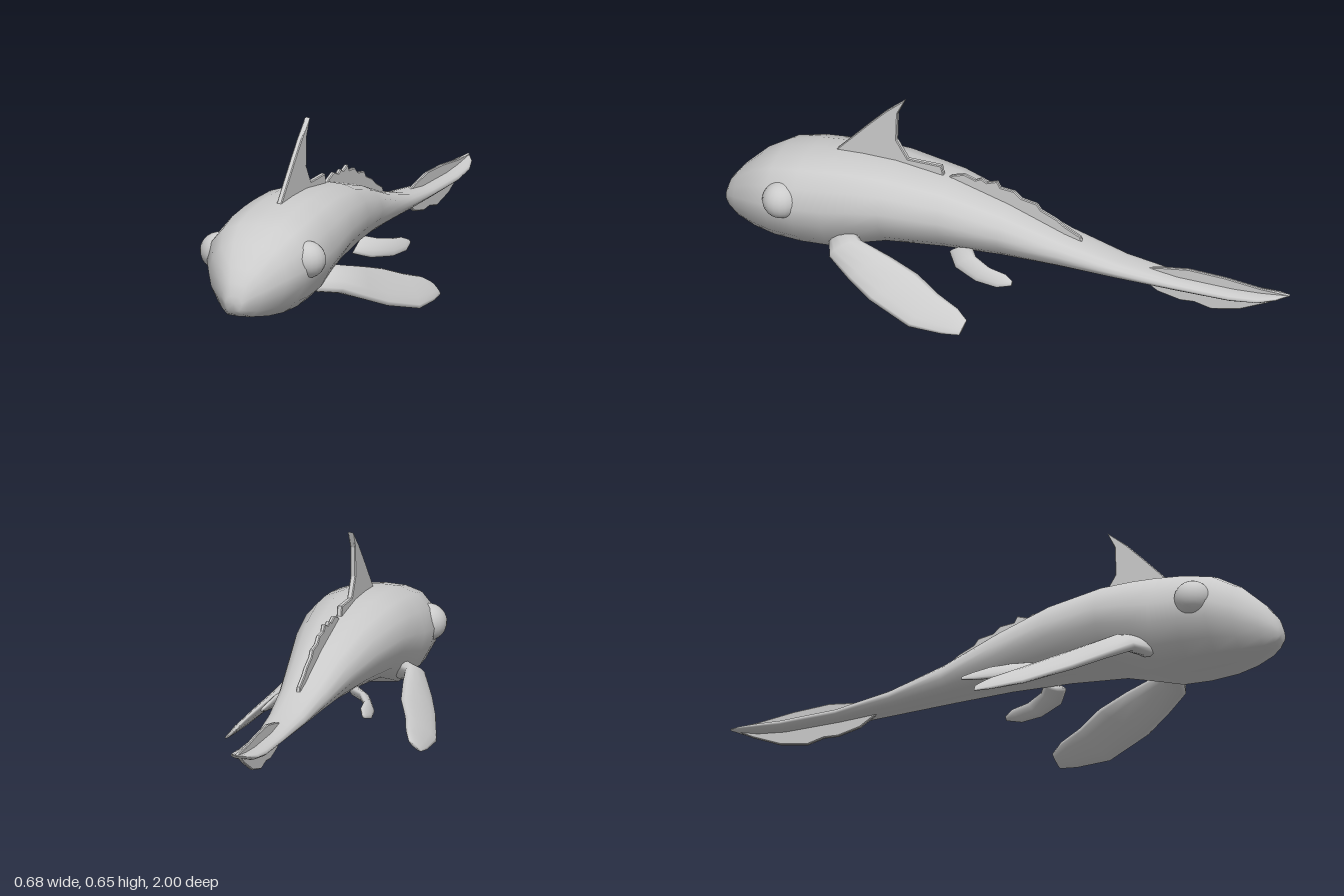
import * as THREE from 'three';

const material = new THREE.MeshStandardMaterial({ color: 0xcccccc });
const V = (x, y, z) => new THREE.Vector3(x, y, z);

// Skin a list of equal-length rings and close both ends
function loft(rings) {
  const n = rings[0].length, last = (rings.length - 1) * n;
  const pts = rings.flat(), index = [];
  for (let i = 0; i < rings.length - 1; i++) {
    for (let j = 0; j < n; j++) {
      const a = i * n + j, b = i * n + (j + 1) % n;
      index.push(a, b, a + n, b, b + n, a + n);
    }
  }
  const middle = ring => ring.reduce((s, p) => s.add(p), V(0, 0, 0)).divideScalar(n);
  pts.push(middle(rings[0]), middle(rings[rings.length - 1]));
  const start = pts.length - 2, end = pts.length - 1;
  for (let j = 0; j < n; j++) {
    const k = (j + 1) % n;
    index.push(start, k, j, end, last + j, last + k);
  }
  const g = new THREE.BufferGeometry().setFromPoints(pts);
  g.setIndex(index);
  g.computeVertexNormals();
  return g;
}

// Body stations: z, half width, bottom, top
const stations = [
  [1, 0.03, 0.145, 0.195], [0.985, 0.05, 0.13, 0.235], [0.95, 0.085, 0.115, 0.28],
  [0.88, 0.14, 0.103, 0.345], [0.8, 0.18, 0.097, 0.39], [0.7, 0.193, 0.095, 0.41],
  [0.6, 0.19, 0.1, 0.422], [0.52, 0.186, 0.125, 0.426], [0.4, 0.178, 0.16, 0.425],
  [0.2, 0.15, 0.175, 0.4], [0, 0.115, 0.178, 0.345], [-0.2, 0.085, 0.172, 0.275],
  [-0.4, 0.065, 0.166, 0.225], [-0.6, 0.05, 0.162, 0.2], [-0.8, 0.05, 0.165, 0.198],
  [-0.9, 0.047, 0.178, 0.204], [-0.96, 0.03, 0.195, 0.211], [-1, 0.003, 0.212, 0.216],
];
// Half cross-section from spine to belly: width fraction, height fraction
const half = [[0, 1], [0.37, 0.985], [0.68, 0.92], [0.9, 0.76], [1, 0.55],
  [0.94, 0.36], [0.75, 0.15], [0.52, 0.02], [0, 0]];
const outline = [...half, ...half.slice(1, -1).reverse().map(([x, y]) => [-x, y])];

function bodyGeometry() {
  return loft(stations.map(([z, w, lo, hi]) =>
    outline.map(([x, y]) => V(x * w, lo + y * (hi - lo), z))));
}

// Paddle fin from matching lower/outer and upper/inner edge points
function paddle(lower, upper, thick, side) {
  const L = lower.map(p => V(p[0] * side, p[1], p[2]));
  const U = upper.map(p => V(p[0] * side, p[1], p[2]));
  const mid = L.map((p, i) => p.clone().add(U[i]).multiplyScalar(0.5));
  return loft(mid.map((c, i) => {
    const along = mid[Math.min(i + 1, mid.length - 1)].clone().sub(mid[Math.max(i - 1, 0)]);
    const e1 = L[i].clone().sub(c);
    const e2 = along.cross(e1).normalize().multiplyScalar(thick[i]);
    return Array.from({ length: 12 }, (_, j) => {
      const t = j / 12 * Math.PI * 2;
      return c.clone().addScaledVector(e1, Math.cos(t)).addScaledVector(e2, Math.sin(t));
    });
  }));
}

// Thin upright fin from a (z, y) outline
function blade(points, width) {
  const shape = new THREE.Shape(points.map(([z, y]) => new THREE.Vector2(z, y)));
  const b = 0.003;
  const g = new THREE.ExtrudeGeometry(shape, {
    depth: width - 2 * b, bevelEnabled: true, bevelThickness: b,
    bevelSize: b, bevelOffset: -b, bevelSegments: 1,
  });
  g.translate(0, 0, b - width / 2);
  g.rotateY(-Math.PI / 2);
  return g;
}

export function createModel() {
  const group = new THREE.Group();
  const add = (name, geometry) => {
    const mesh = new THREE.Mesh(geometry, material);
    mesh.name = name;
    group.add(mesh);
    return mesh;
  };

  add('body', bodyGeometry());

  // Fins along the back and tail
  add('dorsalFin', blade([[0.62, 0.41], [0.61, 0.425], [0.5, 0.54], [0.44, 0.6], [0.37, 0.657],
    [0.397, 0.6], [0.4, 0.5], [0.36, 0.437], [0.24, 0.437], [0.23, 0.39], [0.4, 0.4]], 0.018));
  add('rearDorsalFin', blade([[0.23, 0.39], [0.2, 0.41], [0.16, 0.422], [0.12, 0.409],
    [0.1, 0.419], [0.08, 0.408], [0.042, 0.421], [0.03, 0.4], [-0.02, 0.396], [-0.045, 0.375],
    [-0.1, 0.366], [-0.115, 0.346], [-0.17, 0.323], [-0.2, 0.302], [-0.255, 0.276],
    [-0.265, 0.24], [0, 0.32]], 0.014));
  add('tailFin', blade([[-0.47, 0.165], [-0.47, 0.205], [-0.54, 0.222], [-0.64, 0.237],
    [-0.77, 0.233], [-0.9, 0.22], [-1, 0.217], [-0.92, 0.17], [-0.82, 0.125], [-0.72, 0.105],
    [-0.66, 0.118], [-0.61, 0.114], [-0.53, 0.13]], 0.012));

  // Paired fins and eyes
  for (const [side, label] of [[1, 'left'], [-1, 'right']]) {
    add(label + 'PectoralFin', paddle(
      [[0.12, 0.13, 0.59], [0.2, 0.125, 0.56], [0.25, 0.085, 0.47], [0.29, 0.048, 0.38],
        [0.337, 0.006, 0.22], [0.34, 0.006, 0.1], [0.336, 0.012, 0.04]],
      [[0.12, 0.2, 0.5], [0.165, 0.19, 0.46], [0.185, 0.165, 0.35], [0.21, 0.135, 0.24],
        [0.25, 0.1, 0.15], [0.275, 0.075, 0.07], [0.295, 0.05, 0.03]],
      [0.03, 0.026, 0.02, 0.017, 0.013, 0.01, 0.006], side));
    add(label + 'PelvicFin', paddle(
      [[0.08, 0.16, 0.18], [0.13, 0.14, 0.14], [0.17, 0.128, 0.05], [0.186, 0.13, -0.03],
        [0.178, 0.142, -0.08]],
      [[0.08, 0.2, 0.1], [0.12, 0.19, 0.07], [0.15, 0.178, 0.01], [0.155, 0.168, -0.05],
        [0.168, 0.155, -0.08]],
      [0.018, 0.015, 0.012, 0.009, 0.005], side));
    const eye = add(label + 'Eye', new THREE.SphereGeometry(0.062, 20, 14));
    eye.position.set(0.158 * side, 0.278, 0.75);
  }
  return group;
}
